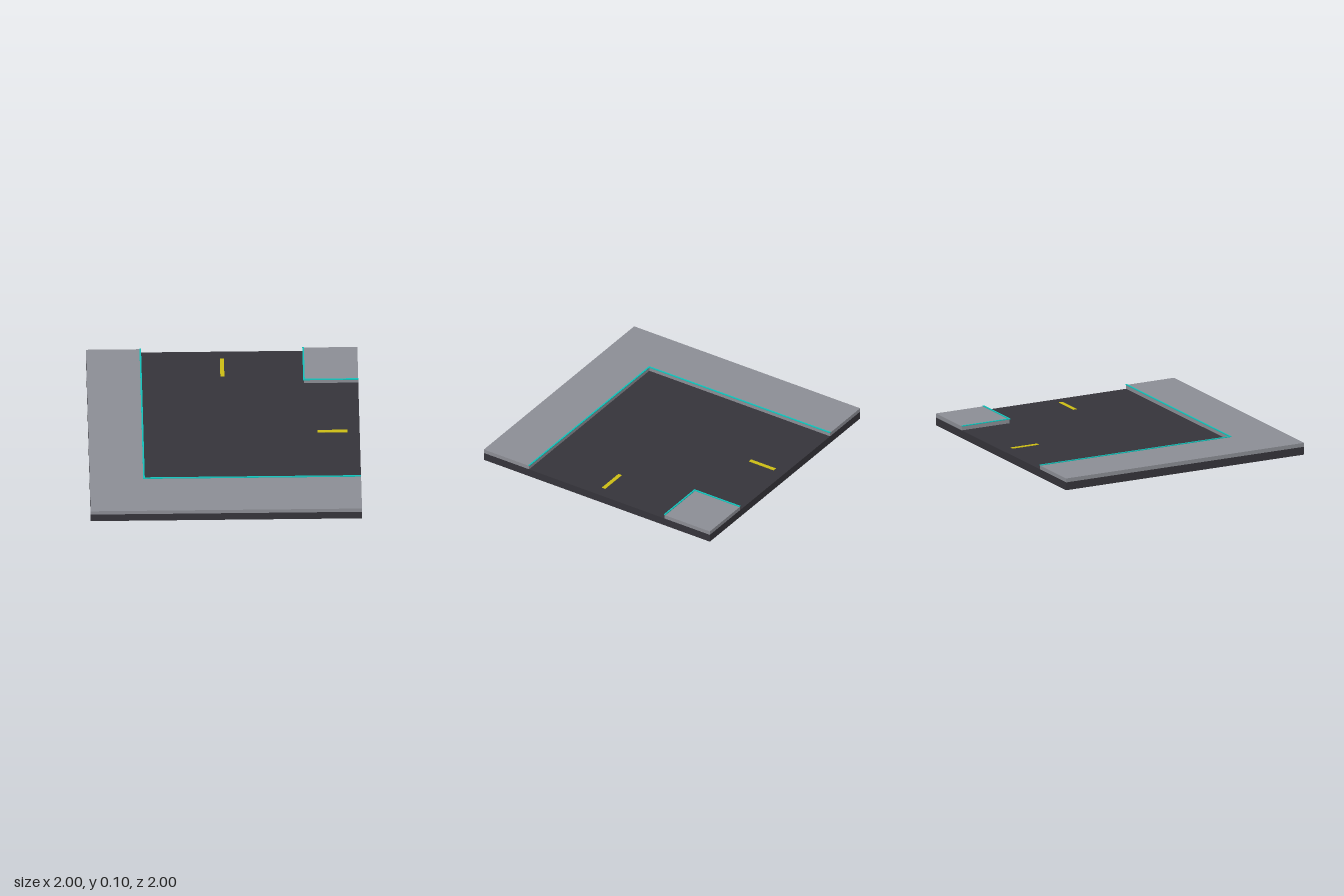
import * as THREE from 'three';

const ROAD_TOP = 0.06, WALK_TOP = 0.09, INNER = 0.6, TRIM = 0.012;

const mat = (name, color) => {
  const m = new THREE.MeshStandardMaterial({ color });
  m.name = name;
  return m;
};

// Box given by its x, y and z ranges
function slab(name, material, [x0, x1], [y0, y1], [z0, z1]) {
  const mesh = new THREE.Mesh(new THREE.BoxGeometry(x1 - x0, y1 - y0, z1 - z0), material);
  mesh.position.set((x0 + x1) / 2, (y0 + y1) / 2, (z0 + z1) / 2);
  mesh.name = name;
  return mesh;
}

export function createModel() {
  const asphalt = mat('asphalt', 0x35343a);
  const concrete = mat('concrete', 0x8b8d94);
  const teal = mat('teal trim', 0x12c0b8);
  const yellow = mat('yellow paint', 0xcabb14);

  const group = new THREE.Group();
  group.name = 'roadCornerTile';

  // Road bed
  group.add(slab('roadBase', asphalt, [-1, 1], [0, ROAD_TOP], [-1, 1]));

  // L-shaped outer sidewalk, drawn in x and -z, then laid flat
  const outline = [[-1, -1], [1, -1], [1, -INNER], [-INNER, -INNER], [-INNER, 1], [-1, 1]];
  const shape = new THREE.Shape(outline.map(([x, y]) => new THREE.Vector2(x, y)));
  const walkGeo = new THREE.ExtrudeGeometry(shape, { depth: WALK_TOP - ROAD_TOP, bevelEnabled: false });
  walkGeo.rotateX(-Math.PI / 2).translate(0, ROAD_TOP, 0);
  const walk = new THREE.Mesh(walkGeo, concrete);
  walk.name = 'outerSidewalk';
  group.add(walk);

  // Small sidewalk on the inside of the bend
  group.add(slab('innerSidewalk', concrete, [INNER, 1], [ROAD_TOP, WALK_TOP], [-1, -INNER]));

  // Kerb trim strips, straddling the sidewalk edges
  const h = TRIM / 2, ty = [WALK_TOP, WALK_TOP + 0.006];
  group.add(
    slab('outerTrimSide', teal, [-INNER - h, -INNER + h], ty, [-1, INNER + h]),
    slab('outerTrimFront', teal, [-INNER + h, 1], ty, [INNER - h, INNER + h]),
    slab('innerTrimSide', teal, [INNER - h, INNER + h], ty, [-1, -INNER + h]),
    slab('innerTrimFront', teal, [INNER + h, 1], ty, [-INNER - h, -INNER + h])
  );

  // Lane dashes on the two road ends
  const dy = [ROAD_TOP, ROAD_TOP + 0.003];
  group.add(
    slab('laneDashBack', yellow, [-0.015, 0.015], dy, [-0.91, -0.69]),
    slab('laneDashLeft', yellow, [0.69, 0.91], dy, [-0.015, 0.015])
  );
  return group;
}
